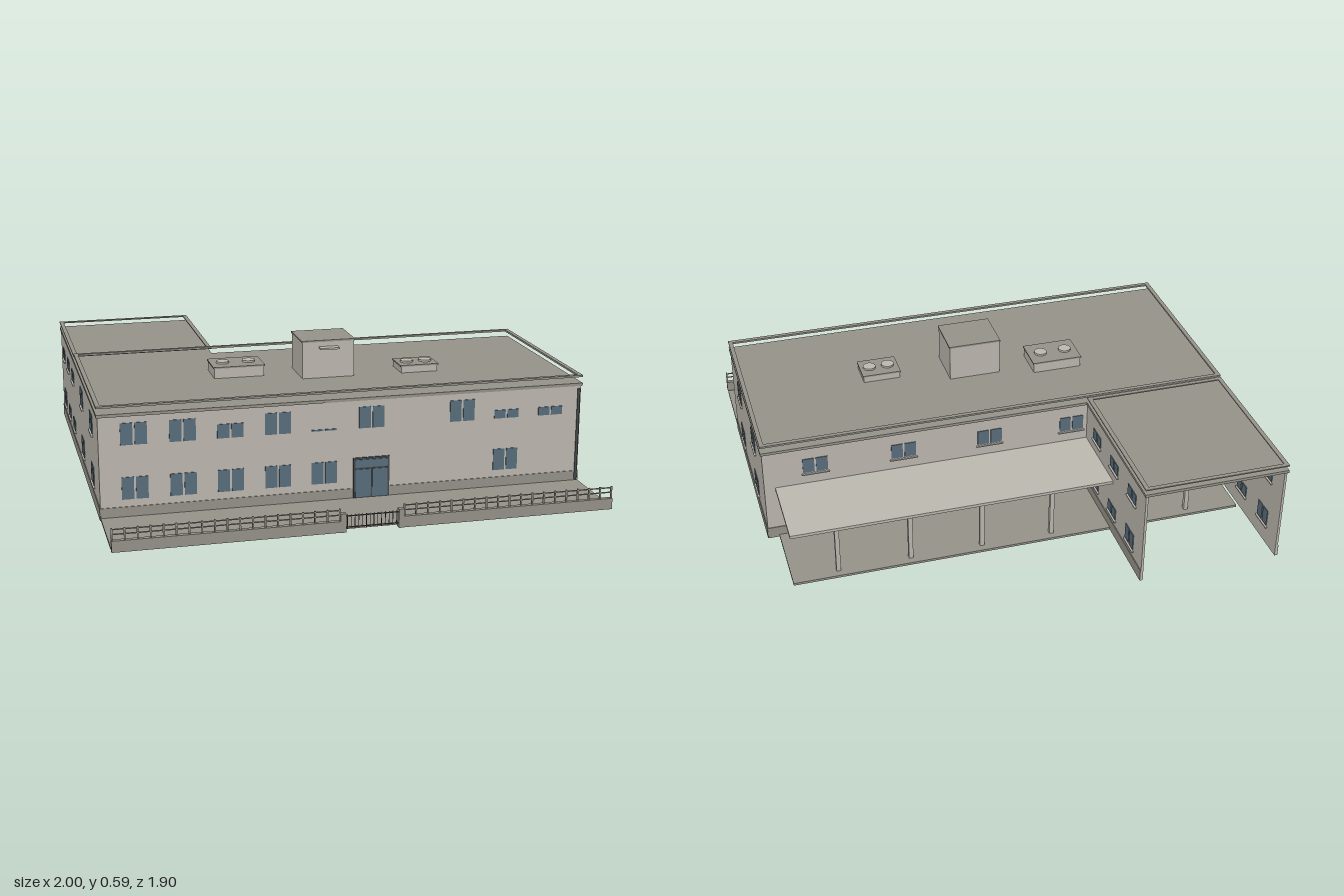
import * as THREE from 'three';

export function createModel() {
  const model = new THREE.Group();
  model.name = 'building';
  const mat = (name, color) => {
    const m = new THREE.MeshStandardMaterial({ color });
    m.name = name;
    return m;
  };
  const wallMat = mat('warm grey plaster', 0xbfbbb2);
  const roofMat = mat('grey concrete', 0x97948b);
  const glassMat = mat('blue grey glass', 0x5a6f7e);
  const darkMat = mat('dark metal', 0x46474a);

  const group = (name) => {
    const g = new THREE.Group();
    g.name = name;
    model.add(g);
    return g;
  };
  // box given by its extents along each axis
  const box = (parent, name, m, x0, x1, y0, y1, z0, z1) => {
    const mesh = new THREE.Mesh(new THREE.BoxGeometry(x1 - x0, y1 - y0, z1 - z0), m);
    mesh.position.set((x0 + x1) / 2, (y0 + y1) / 2, (z0 + z1) / 2);
    mesh.name = name;
    parent.add(mesh);
    return mesh;
  };

  // Main extents
  const L = -0.995, R = 0.985, F = 0.595, B = -0.26, WB = -0.945, WR = -0.4;
  const T = 0.01, H = 0.415;

  // Outer walls: the wing is open at its rear end
  const walls = group('walls');
  box(walls, 'frontWall', wallMat, L, R, 0, H, F - T, F);
  box(walls, 'rightWall', wallMat, R - T, R, 0, H, B, F - T);
  box(walls, 'leftWall', wallMat, L, L + T, 0, H, WB, F - T);
  box(walls, 'backWall', wallMat, WR, R - T, 0, H, B, B + T);
  box(walls, 'wingInnerWall', wallMat, WR - T, WR, 0, H, WB, B + T);

  // Plinth band
  const plinth = group('plinth');
  const P = 0.003, PH = 0.05;
  box(plinth, 'frontPlinth', roofMat, L, R, 0, PH, F, F + P);
  box(plinth, 'rightPlinth', roofMat, R, R + P, 0, PH, B, F);
  box(plinth, 'leftPlinth', roofMat, L - P, L, 0, PH, WB, F);
  box(plinth, 'backPlinth', roofMat, WR, R, 0, PH, B - P, B);
  box(plinth, 'wingPlinth', roofMat, WR, WR + P, 0, PH, WB, B);

  // Roof slabs with a floating edge frame above
  const roof = group('roof');
  const frame = (name, x0, x1, z0, z1, y0, y1, w) => {
    box(roof, name, roofMat, x0, x1, y0, y1, z1 - w, z1);
    box(roof, name, roofMat, x0, x1, y0, y1, z0, z0 + w);
    box(roof, name, roofMat, x0, x0 + w, y0, y1, z0 + w, z1 - w);
    box(roof, name, roofMat, x1 - w, x1, y0, y1, z0 + w, z1 - w);
  };
  box(roof, 'mainRoof', roofMat, -1, 0.99, H, 0.427, B - 0.005, 0.6);
  box(roof, 'wingRoof', roofMat, -1, WR + 0.005, H, 0.427, -0.95, B - 0.005);
  frame('mainEdgeFrame', -1, 0.99, B - 0.005, 0.6, 0.452, 0.46, 0.018);
  frame('wingEdgeFrame', -1, WR + 0.005, -0.95, B - 0.005, 0.446, 0.451, 0.018);

  // Ground slabs
  const ground = group('pavement');
  box(ground, 'frontPavement', roofMat, -0.995, 0.985, 0, 0.01, 0.598, 0.91);
  box(ground, 'rearTerrace', roofMat, -0.97, 0.94, 0, 0.01, -0.595, 0.08);

  // Rear canopy on columns
  const canopy = group('rearCanopy');
  box(canopy, 'canopySlab', wallMat, -0.97, 0.94, 0.234, 0.247, -0.595, B);
  for (let i = 0; i < 6; i++) {
    const x = 0.75 - 0.3 * i;
    box(canopy, 'canopyColumn', wallMat, x - 0.009, x + 0.009, 0.01, 0.234, -0.565, -0.547);
  }

  // Paired window panes on a wall: axis 'x' runs along x, 'z' along z
  const windows = group('windows');
  const pair = (axis, c, y0, y1, at, out, sill = true, half = 0.052) => {
    const a0 = Math.min(at, at + out * 0.003), a1 = Math.max(at, at + out * 0.003);
    const s0 = Math.min(at, at + out * 0.008), s1 = Math.max(at, at + out * 0.008);
    const place = (name, m, u0, u1, v0, v1, d0, d1) => axis === 'x'
      ? box(windows, name, m, u0, u1, v0, v1, d0, d1)
      : box(windows, name, m, d0, d1, v0, v1, u0, u1);
    place('windowPane', glassMat, c - half, c - 0.004, y0, y1, a0, a1);
    place('windowPane', glassMat, c + 0.004, c + half, y0, y1, a0, a1);
    if (sill) place('windowSill', wallMat, c - half - 0.006, c + half + 0.006, y0 - 0.011, y0 - 0.006, s0, s1);
  };
  // front: [centre, bottom, top]
  const front = [
    [-0.858, 0.3, 0.388], [-0.668, 0.3, 0.388], [-0.48, 0.3, 0.357], [-0.29, 0.3, 0.388],
    [-0.102, 0.3, 0.306], [0.093, 0.3, 0.388], [0.473, 0.3, 0.388], [0.663, 0.3, 0.335],
    [0.853, 0.3, 0.335],
    [-0.858, 0.08, 0.17], [-0.668, 0.08, 0.17], [-0.48, 0.08, 0.17], [-0.29, 0.08, 0.17],
    [-0.102, 0.08, 0.17], [0.663, 0.08, 0.17],
  ];
  for (const [c, y0, y1] of front) pair('x', c, y0, y1, F, 1, false);
  // inner faces of the front windows
  for (let i = 0; i < 10; i++) {
    const c = -0.858 + 0.19 * i;
    pair('x', c, 0.3, 0.388, F - T, -1, false);
    if (i !== 5) pair('x', c, 0.08, 0.17, F - T, -1, false);
  }
  // sides of the main block and both sides of the wing
  for (const [at, out] of [[R, 1], [R - T, -1], [L, -1], [L + T, 1]]) {
    for (const z of [0.358, -0.015]) {
      pair('z', z, 0.295, 0.37, at, out, true, 0.046);
      pair('z', z, 0.08, 0.155, at, out, true, 0.046);
    }
  }
  for (const [at, out] of [[WR, 1], [WR - T, -1], [L, -1], [L + T, 1]]) {
    for (const z of [-0.393, -0.6, -0.805]) {
      pair('z', z, 0.305, 0.352, at, out, true, 0.044);
      pair('z', z, 0.085, z < -0.7 ? 0.155 : 0.132, at, out, true, 0.044);
    }
  }
  for (const x of [0.77, 0.4, 0.03, -0.33]) {
    pair('x', x, 0.3, 0.365, B, -1);
    pair('x', x, 0.3, 0.365, B + T, 1, false);
  }

  // Entrance door
  const door = group('entrance');
  box(door, 'doorFrame', darkMat, 0.018, 0.168, 0.01, 0.178, F, F + 0.005);
  box(door, 'doorTransom', glassMat, 0.026, 0.16, 0.137, 0.17, F, F + 0.008);
  for (const x of [0.026, 0.096]) box(door, 'doorLeaf', glassMat, x, x + 0.064, 0.012, 0.13, F, F + 0.008);
  box(door, 'innerDoor', glassMat, 0.02, 0.165, 0.01, 0.175, F - T - 0.003, F - T);

  // Corner downpipe
  const pipe = new THREE.Mesh(new THREE.CylinderGeometry(0.006, 0.006, 0.39, 8), darkMat);
  pipe.name = 'downpipe';
  pipe.position.set(0.973, 0.21, 0.604);
  model.add(pipe);

  // Rooftop stair house with a small hood
  const house = group('roofHouse');
  box(house, 'houseBody', wallMat, -0.11, 0.11, 0.425, 0.58, 0.073, 0.262);
  box(house, 'houseRoof', roofMat, -0.113, 0.113, 0.58, 0.587, 0.07, 0.265);
  box(house, 'houseHood', wallMat, -0.04, 0.04, 0.553, 0.56, 0.262, 0.296);

  // Rooftop vent units with twin round caps
  const vents = [
    [-0.463, -0.253, 0.025, 0.172, 0.475, 0.1, [-0.415, -0.305]],
    [0.315, 0.473, 0.148, 0.268, 0.46, 0.21, [0.355, 0.435]],
  ];
  for (const [x0, x1, z0, z1, top, cz, caps] of vents) {
    const vent = group('roofVent');
    box(vent, 'ventBody', wallMat, x0, x1, 0.425, top - 0.006, z0, z1);
    box(vent, 'ventLid', roofMat, x0 - 0.004, x1 + 0.004, top - 0.006, top, z0 - 0.004, z1 + 0.004);
    for (const x of caps) {
      const cap = new THREE.Mesh(new THREE.CylinderGeometry(0.027, 0.027, 0.008, 24), wallMat);
      cap.name = 'ventCap';
      cap.position.set(x, top + 0.004, cz);
      vent.add(cap);
    }
  }

  // Street fence: low wall, rails and balusters on both sides of a gate
  const fence = group('fence');
  for (const [x0, x1] of [[-0.995, -0.125], [0.125, 0.985]]) {
    box(fence, 'fenceWall', roofMat, x0, x1, 0, 0.045, 0.926, 0.945);
    for (const y of [0.066, 0.085]) box(fence, 'fenceRail', roofMat, x0, x1, y, y + 0.004, 0.934, 0.938);
    const n = 18;
    for (let i = 0; i <= n; i++) {
      const x = x0 + 0.003 + ((x1 - x0 - 0.006) * i) / n;
      box(fence, 'fenceBaluster', roofMat, x - 0.003, x + 0.003, 0.045, 0.093, 0.933, 0.939);
    }
  }
  for (const s of [-1, 1]) {
    box(fence, 'gatePost', roofMat, s * 0.115 - 0.011, s * 0.115 + 0.011, 0, 0.075, 0.923, 0.947);
  }
  for (const y of [0.015, 0.06]) box(fence, 'gateRail', darkMat, -0.104, 0.104, y, y + 0.004, 0.934, 0.937);
  for (let i = 0; i < 14; i++) {
    const x = -0.0975 + 0.015 * i;
    box(fence, 'gateBar', darkMat, x - 0.001, x + 0.001, 0.01, 0.068, 0.934, 0.937);
  }

  return model;
}
